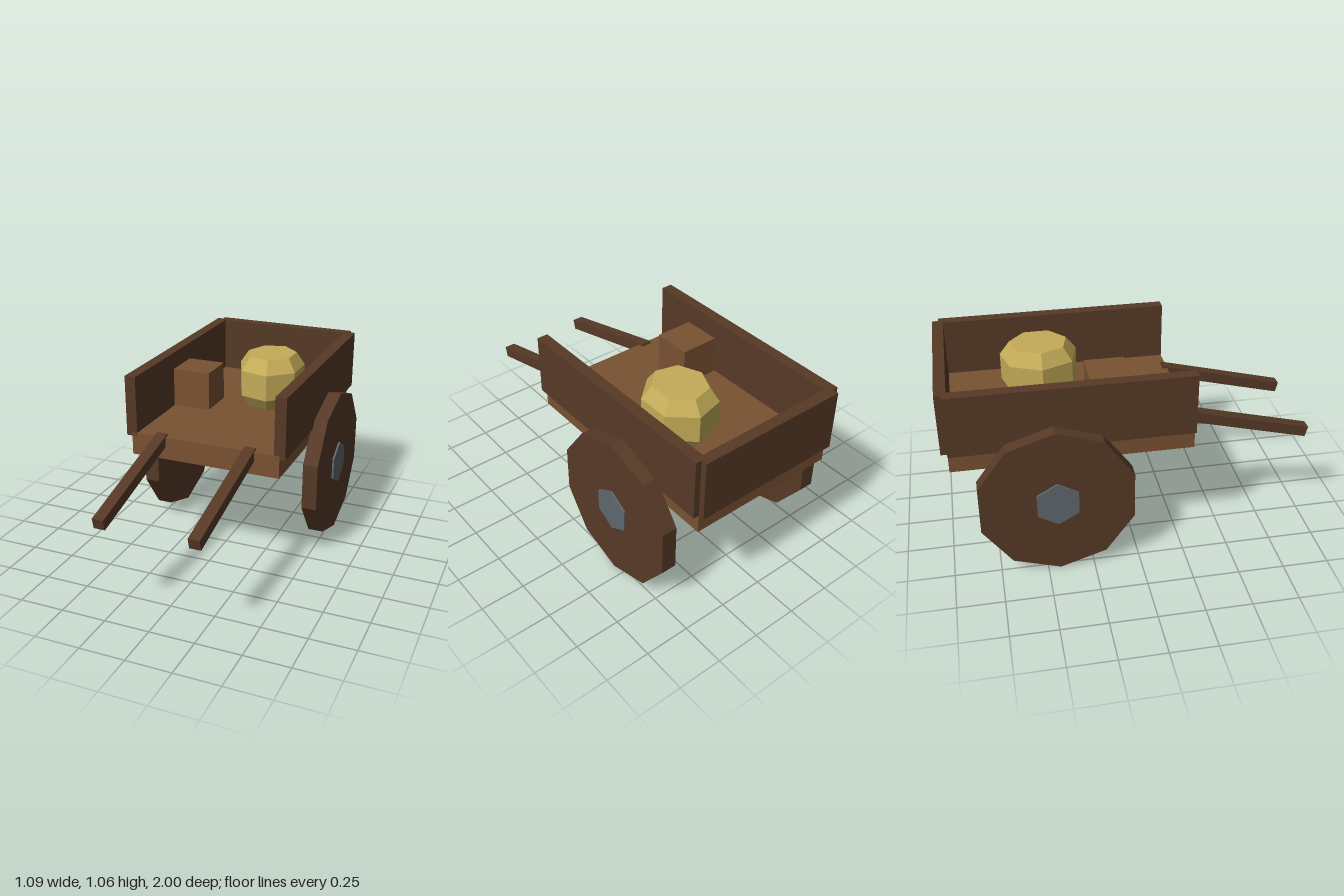
import * as THREE from 'three';

const material = (name, color) => {
  const m = new THREE.MeshStandardMaterial({ color, flatShading: true });
  m.name = name;
  return m;
};

export function createModel() {
  const cart = new THREE.Group();
  cart.name = 'handcart';
  const wood = material('wood', 0x7a5233);
  const darkWood = material('dark wood', 0x573a26);
  const iron = material('iron', 0x60686e);
  const straw = material('straw yellow', 0xc4ac58);

  const add = (name, geometry, mat, x, y, z) => {
    const mesh = new THREE.Mesh(geometry, mat);
    mesh.name = name;
    mesh.position.set(x, y, z);
    cart.add(mesh);
    return mesh;
  };
  const box = (name, w, h, d, mat, x, y, z) =>
    add(name, new THREE.BoxGeometry(w, h, d), mat, x, y, z);
  // Low-sided disc lying along x with a corner pointing up
  const disc = (name, radius, width, sides, mat, x, y, z) =>
    add(name, new THREE.CylinderGeometry(radius, radius, width, sides, 1, false, Math.PI / 2)
      .rotateZ(Math.PI / 2), mat, x, y, z);

  // Bed and back panel
  box('bed', 0.85, 0.127, 1.276, wood, 0, 0.683, -0.328);
  box('backPanel', 0.85, 0.338, 0.06, darkWood, 0, 0.896, -0.97);

  // Mirrored side panels, wheels, hubs and handles
  for (const [side, s] of [['left', 1], ['right', -1]]) {
    box(side + 'Panel', 0.062, 0.338, 1.276, darkWood, s * 0.426, 0.896, -0.328);
    disc(side + 'Wheel', 0.426, 0.085, 10, darkWood, s * 0.49, 0.428, -0.434);
    disc(side + 'Hub', 0.126, 0.106, 6, iron, s * 0.49, 0.428, -0.434);
    box(side + 'Handle', 0.062, 0.06, 0.738, darkWood, s * 0.255, 0.64, 0.635)
      .rotation.x = 0.25;
  }

  // Cargo: crate and seven-sided sack
  box('crate', 0.213, 0.213, 0.213, wood, -0.215, 0.917, -0.118);
  const profile = [[0, 0], [0.74, 0], [1, 0.075], [1, 0.225], [0.74, 0.3], [0, 0.3]]
    .map(([r, y]) => new THREE.Vector2(r, y));
  const sack = new THREE.LatheGeometry(profile, 7, -Math.PI / 2).scale(0.1925, 1, 0.214);
  add('sack', sack, straw, 0.105, 0.746, -0.44);

  return cart;
}
